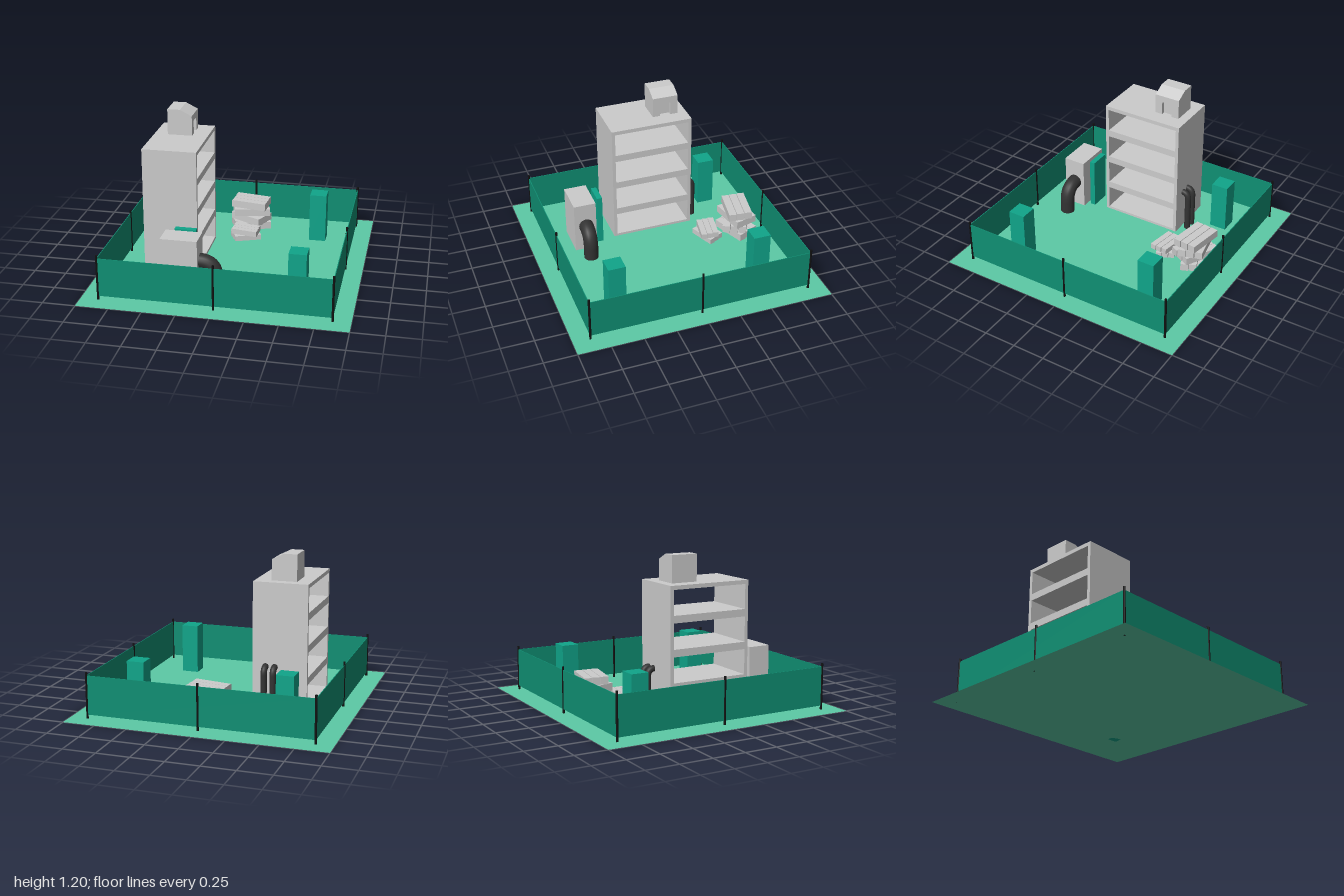
import * as THREE from 'three';

const mat = (color) => new THREE.MeshStandardMaterial({ color });

export function createModel() {
  const model = new THREE.Group();
  const grey = mat(0xcccccc), dark = mat(0x333333), black = mat(0x111111);
  const fenceGreen = mat(0x0f8f73), green = mat(0x10a58a);
  const groundGreen = mat(0x5ccaa6);
  groundGreen.side = THREE.DoubleSide;

  const add = (name, geometry, material, parent = model) => {
    const mesh = new THREE.Mesh(geometry, material);
    mesh.name = name;
    parent.add(mesh);
    return mesh;
  };
  // Box given by its limits on each axis
  const box = (name, [x0, x1], [y0, y1], [z0, z1], material, parent) => {
    const mesh = add(name, new THREE.BoxGeometry(x1 - x0, y1 - y0, z1 - z0), material, parent);
    mesh.position.set((x0 + x1) / 2, (y0 + y1) / 2, (z0 + z1) / 2);
    return mesh;
  };
  const group = (name) => {
    const g = new THREE.Group();
    g.name = name;
    model.add(g);
    return g;
  };
  const shape = (points) => new THREE.Shape(points.map(([x, y]) => new THREE.Vector2(x, y)));

  // Ground sheet
  add('ground', new THREE.PlaneGeometry(2, 2).rotateX(-Math.PI / 2), groundGreen);

  // Perimeter fence: four thin panels, posts at corners and midpoints
  const fence = group('fence');
  const F = 0.866;
  for (const s of [-1, 1]) {
    box('fencePanel', [-F, F], [0.03, 0.33], [s * F - 0.003, s * F + 0.003], fenceGreen, fence);
    box('fencePanel', [s * F - 0.003, s * F + 0.003], [0.03, 0.33], [-F, F], fenceGreen, fence);
  }
  for (const i of [-1, 0, 1]) for (const j of [-1, 0, 1]) {
    if (!i && !j) continue;
    add('fencePost', new THREE.CylinderGeometry(0.009, 0.009, 0.355, 8), black, fence)
      .position.set(i * F, 0.1775, j * F);
  }

  // Green pillars on three corners
  for (const [x, z] of [[-0.577, -0.568], [0.577, -0.568], [0.577, 0.585]]) {
    box('pillar', [x - 0.067, x + 0.067], [0, 0.397], [z - 0.067, z + 0.067], green);
  }

  // Building frame: end walls and floor slabs, open on both long sides
  const building = group('building');
  const bx = [-0.66, -0.24];
  box('endWall', bx, [0.03, 1], [0.302, 0.328], grey, building);
  box('endWall', bx, [0.03, 1], [-0.328, -0.302], grey, building);
  for (const y of [[0.03, 0.05], [0.24, 0.295], [0.485, 0.54], [0.73, 0.785], [0.97, 1]]) {
    box('floorSlab', bx, y, [-0.302, 0.302], grey, building);
  }

  // Rooftop hut: notched plan for the doorway, sloped block above it
  const hut = group('rooftopHut');
  const plan = shape([[-0.555, 0.05], [-0.362, 0.05], [-0.362, 0.11], [-0.392, 0.11],
    [-0.392, 0.195], [-0.362, 0.195], [-0.362, 0.255], [-0.555, 0.255]]);
  add('hutWalls', new THREE.ExtrudeGeometry(plan, { depth: 0.105, bevelEnabled: false }), grey, hut)
    .rotation.x = -Math.PI / 2;
  hut.children[0].position.y = 1;
  const profile = shape([[-0.555, 1.105], [-0.362, 1.105], [-0.362, 1.157], [-0.455, 1.203], [-0.555, 1.203]]);
  add('hutRoof', new THREE.ExtrudeGeometry(profile, { depth: 0.205, bevelEnabled: false }), grey, hut)
    .position.z = -0.255;

  // Pipe that runs out level, then bends down to the ground
  const elbow = (name, start, dir, straight, bend, radius) => {
    const a = new THREE.Vector3(...start), d = new THREE.Vector3(...dir);
    const b = a.clone().addScaledVector(d, straight);
    const corner = b.clone().addScaledVector(d, bend);
    const c = corner.clone().setY(corner.y - bend);
    const path = new THREE.CurvePath();
    path.add(new THREE.LineCurve3(a, b));
    path.add(new THREE.QuadraticBezierCurve3(b, b.clone().lerp(corner, 0.95), c));
    path.add(new THREE.LineCurve3(c, c.clone().setY(0.03)));
    add(name, new THREE.TubeGeometry(path, 40, radius, 16), dark);
  };
  for (const x of [-0.412, -0.342]) {
    elbow('drainPipe', [x, 0.362, -0.32], [0, 0, -1], 0.005, 0.052, 0.024);
  }

  // Machine box with its large hose and a green panel behind it
  box('machineBox', [-0.44, -0.16], [0.03, 0.44], [0.5, 0.677], grey);
  elbow('machineHose', [-0.18, 0.25, 0.585], [1, 0, 0], 0.02, 0.12, 0.057);
  box('greenPanel', [-0.38, -0.215], [0.03, 0.44], [0.43, 0.473], green);

  // Timber stacks: layers of three planks, each layer turned differently
  const stack = (name, x, z, length, width, height, turns) => {
    const pile = group(name);
    pile.position.set(x, 0.03, z);
    turns.forEach((turn, level) => {
      const layer = new THREE.Group();
      layer.name = 'plankLayer';
      layer.rotation.y = turn;
      layer.position.y = (level + 0.5) * height;
      pile.add(layer);
      for (const i of [-1, 0, 1]) {
        add('plank', new THREE.BoxGeometry(length, height * 0.96, width * 0.93), grey, layer)
          .position.set(i * 0.006, 0, i * width);
      }
    });
  };
  stack('largeTimberStack', 0, -0.635, 0.29, 0.064, 0.062, [0.37, -0.5, 0.2, -0.17]);
  stack('smallTimberStack', 0, -0.385, 0.215, 0.048, 0.045, [0.37, -0.17]);

  return model;
}
